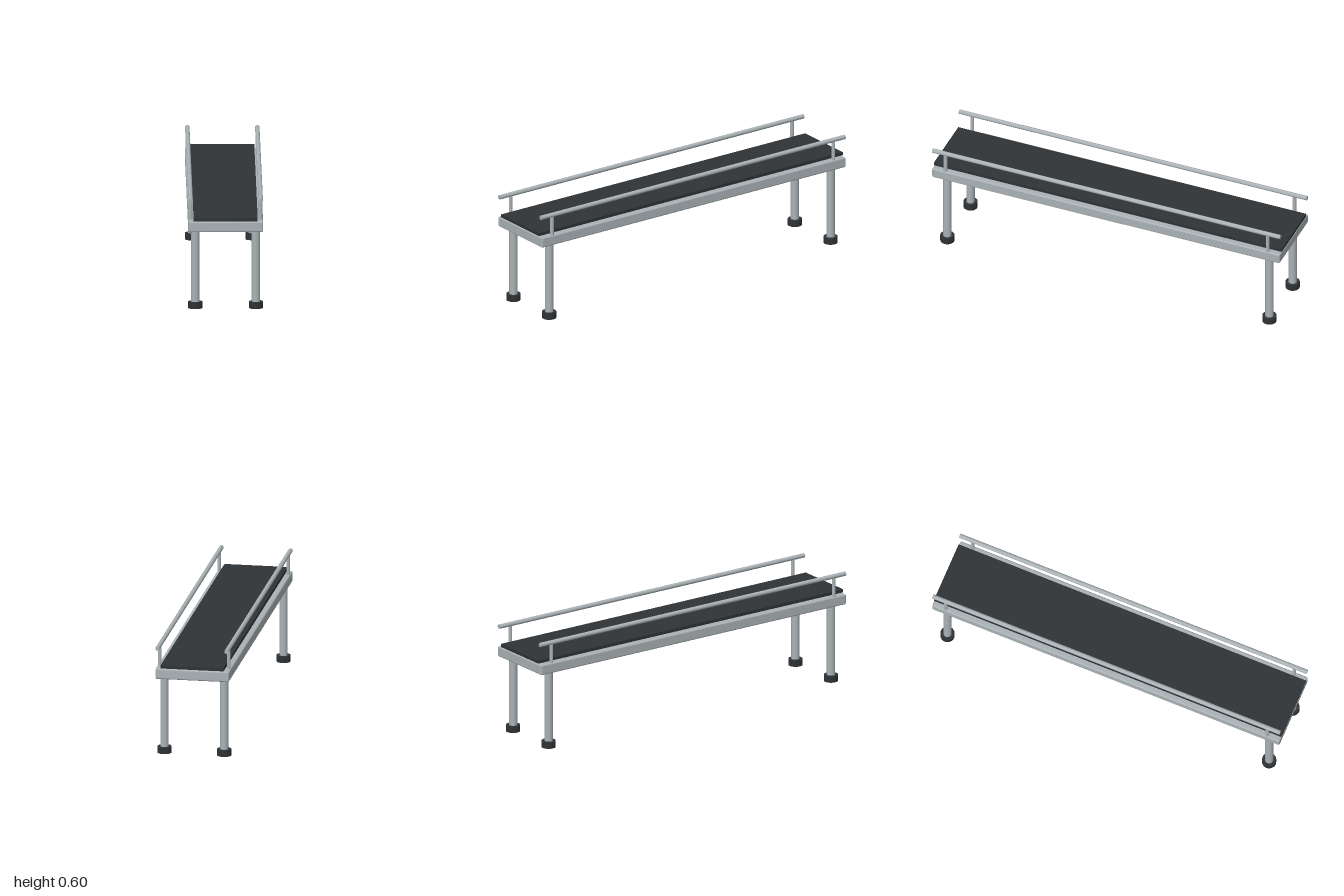
import * as THREE from 'three';
import { RoundedBoxGeometry } from 'three/addons/geometries/RoundedBoxGeometry.js';

const metal = new THREE.MeshStandardMaterial({ color: 0xaab2b5 });
const rubber = new THREE.MeshStandardMaterial({ color: 0x2f3336 });

export function createModel() {
  const model = new THREE.Group();

  const add = (name, geometry, material, x, y, z) => {
    const mesh = new THREE.Mesh(geometry, material);
    mesh.name = name;
    mesh.position.set(x, y, z);
    model.add(mesh);
    return mesh;
  };

  // upright cylinder between two heights
  const upright = (name, radius, y0, y1, material, x, z) =>
    add(name, new THREE.CylinderGeometry(radius, radius, y1 - y0, 32), material, x, (y0 + y1) / 2, z);

  // rounded deck with a mat lying just above it
  add('deck', new RoundedBoxGeometry(0.398, 0.057, 2, 3, 0.008), metal, 0, 0.4515, 0);
  add('mat', new THREE.BoxGeometry(0.34, 0.017, 2), rubber, 0, 0.4915, 0);

  for (const [side, sx] of [['left', 1], ['right', -1]]) {
    // side rail running the full length
    const rail = add(side + 'Rail', new THREE.CylinderGeometry(0.012, 0.012, 2, 24), metal, sx * 0.186, 0.592, 0);
    rail.rotation.x = Math.PI / 2;

    // rail post, leg and foot at each end
    for (const [end, sz] of [['Front', 1], ['Back', -1]]) {
      const z = sz * 0.926;
      upright(side + end + 'Post', 0.01, 0.47, 0.592, metal, sx * 0.186, z);
      upright(side + end + 'Leg', 0.0225, 0.02, 0.43, metal, sx * 0.161, z);
      upright(side + end + 'Foot', 0.038, 0, 0.035, rubber, sx * 0.161, z);
    }
  }
  return model;
}
